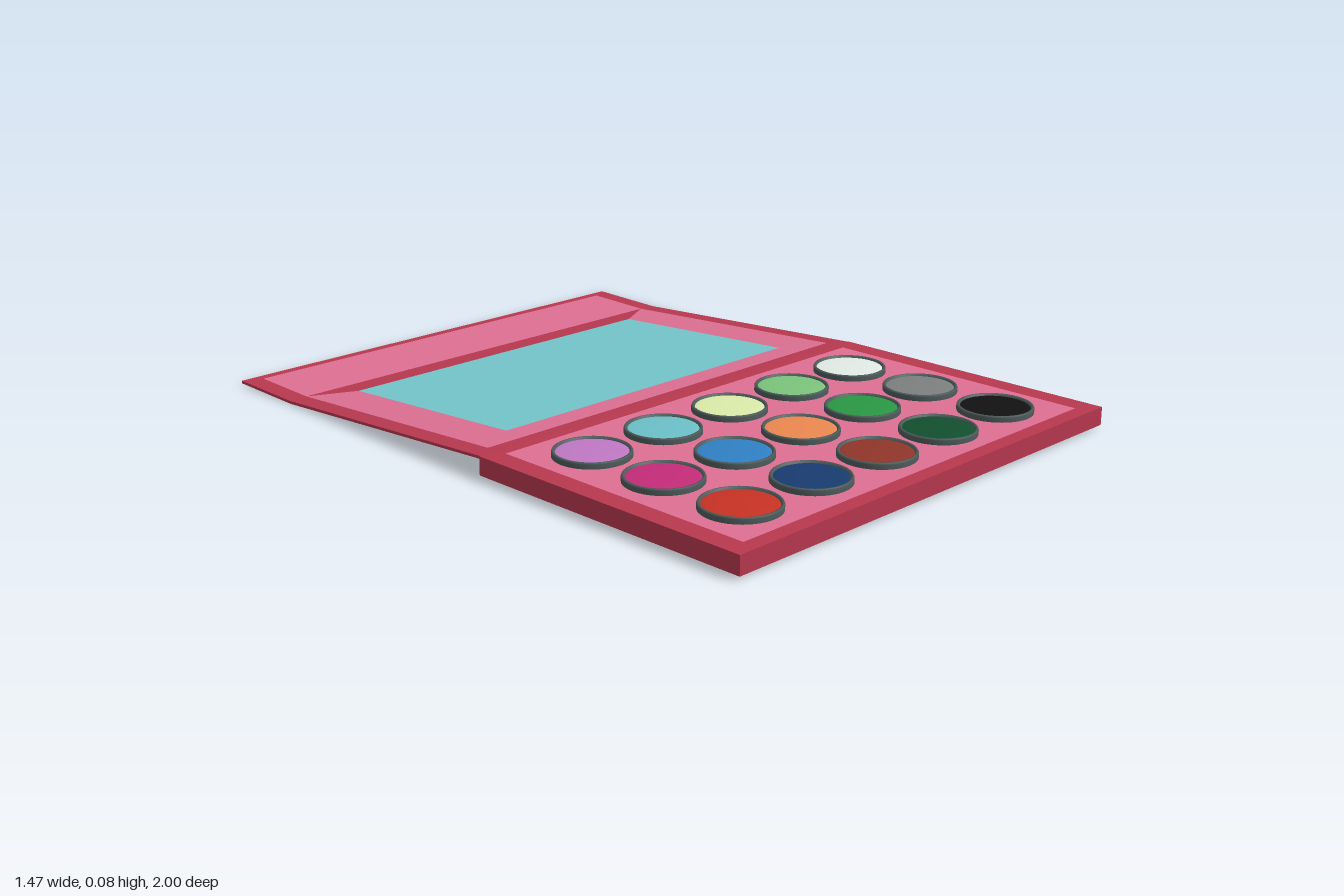
import * as THREE from 'three';

const mat = (color, side = THREE.FrontSide) =>
  new THREE.MeshStandardMaterial({ color, side, roughness: 0.8 });

const RED = mat(0xb8384f), PINK = mat(0xde6f92), MIRROR = mat(0x74c6cc);
const RIM = mat(0x4d5a5a);

const FOLD = -0.75;          // z of the crease across the lid
const BASE_TOP = 0.06;

// Height of the lid's upper surface at a given z
function lidTop(z) {
  return z > FOLD
    ? THREE.MathUtils.mapLinear(z, FOLD, 0.1, 0.008, BASE_TOP)
    : THREE.MathUtils.mapLinear(z, -1, FOLD, 0.013, 0.008);
}

function add(parent, name, geometry, material) {
  const mesh = new THREE.Mesh(geometry, material);
  mesh.name = name;
  parent.add(mesh);
  return mesh;
}

// Thin coloured facing from [x, z] corners, laid on the surface height(z)
function facing(corners, height) {
  const shape = new THREE.Shape(corners.map(([x, z]) => new THREE.Vector2(x, -z)));
  const g = new THREE.ShapeGeometry(shape).rotateX(-Math.PI / 2);
  const p = g.attributes.position;
  for (let i = 0; i < p.count; i++) p.setY(i, height(p.getZ(i)) + 0.0015);
  g.computeVertexNormals();
  return g;
}
const rect = (x0, x1, z0, z1) => [[x0, z0], [x1, z0], [x1, z1], [x0, z1]];

function makeLid() {
  const lid = new THREE.Group();
  lid.name = 'lid';
  const W = 0.73, t = 0.008;

  // Creased sheet, extruded across the width
  const profile = new THREE.Shape();
  const zs = [0.1, FOLD, -1];
  zs.forEach((z, i) => profile[i ? 'lineTo' : 'moveTo'](z, lidTop(z)));
  zs.reverse().forEach(z => profile.lineTo(z, lidTop(z) - t));
  const sheet = new THREE.ExtrudeGeometry(profile, { depth: 2 * W, bevelEnabled: false });
  sheet.rotateY(-Math.PI / 2).translate(W, 0, 0);
  add(lid, 'lidSheet', sheet, RED);

  // Mirror and the pink frame around it
  const ox = 0.675, ix = 0.545, zBack = -0.675, zFront = -0.015, zEdge = 0.065;
  add(lid, 'mirror', facing(rect(-ix, ix, zBack, zFront), lidTop), MIRROR);
  add(lid, 'frameBack', facing(rect(-ox, ox, -0.97, FOLD), lidTop), PINK);
  add(lid, 'frameFront',
    facing([[-ix, zFront], [ix, zFront], [ox, zEdge], [-ox, zEdge]], lidTop), PINK);
  for (const s of [-1, 1]) {
    add(lid, s > 0 ? 'frameLeft' : 'frameRight',
      facing([[s * ox, FOLD], [s * ix, zBack], [s * ix, zFront], [s * ox, zEdge]], lidTop), PINK);
  }
  return lid;
}

function makeBase() {
  const base = new THREE.Group();
  base.name = 'base';
  const box = new THREE.BoxGeometry(1.466, 0.052, 0.9).translate(0, BASE_TOP - 0.026, 0.55);
  add(base, 'tray', box, RED);
  add(base, 'trayPanel', facing(rect(-0.675, 0.667, 0.135, 0.957), () => BASE_TOP), PINK);
  return base;
}

const v = (x, y) => new THREE.Vector2(x, y);
// Metal ring and softly domed colour filling, from their half sections
const rimGeometry = new THREE.LatheGeometry(
  [v(0.105, 0), v(0.105, 0.014), v(0.103, 0.018), v(0.098, 0.018), v(0.095, 0.012)], 40);
const fillGeometry = new THREE.LatheGeometry(
  [v(0.097, 0.012), v(0.085, 0.0145), v(0.05, 0.016), v(0, 0.0165)], 40);

function makePan(color) {
  const pan = new THREE.Group();
  pan.name = 'pan';
  add(pan, 'panRim', rimGeometry, RIM);
  add(pan, 'panColour', fillGeometry, mat(color));
  return pan;
}

export function createModel() {
  const model = new THREE.Group();
  model.name = 'makeupPalette';
  model.add(makeBase(), makeLid());

  // Three rows of five colour pans, back to front
  const rows = [
    [0xc078c4, 0x6cc0c8, 0xdcecaa, 0x7cc47c, 0xe2ece6],
    [0xc42c78, 0x3080c4, 0xec8850, 0x2a9844, 0x7c807e],
    [0xc83224, 0x183c70, 0x90362a, 0x12502e, 0x121212],
  ];
  rows.forEach((row, r) => row.forEach((color, c) => {
    const pan = makePan(color);
    pan.position.set(-0.527 + c * 0.256, BASE_TOP, 0.3 + r * 0.256);
    model.add(pan);
  }));
  return model;
}
